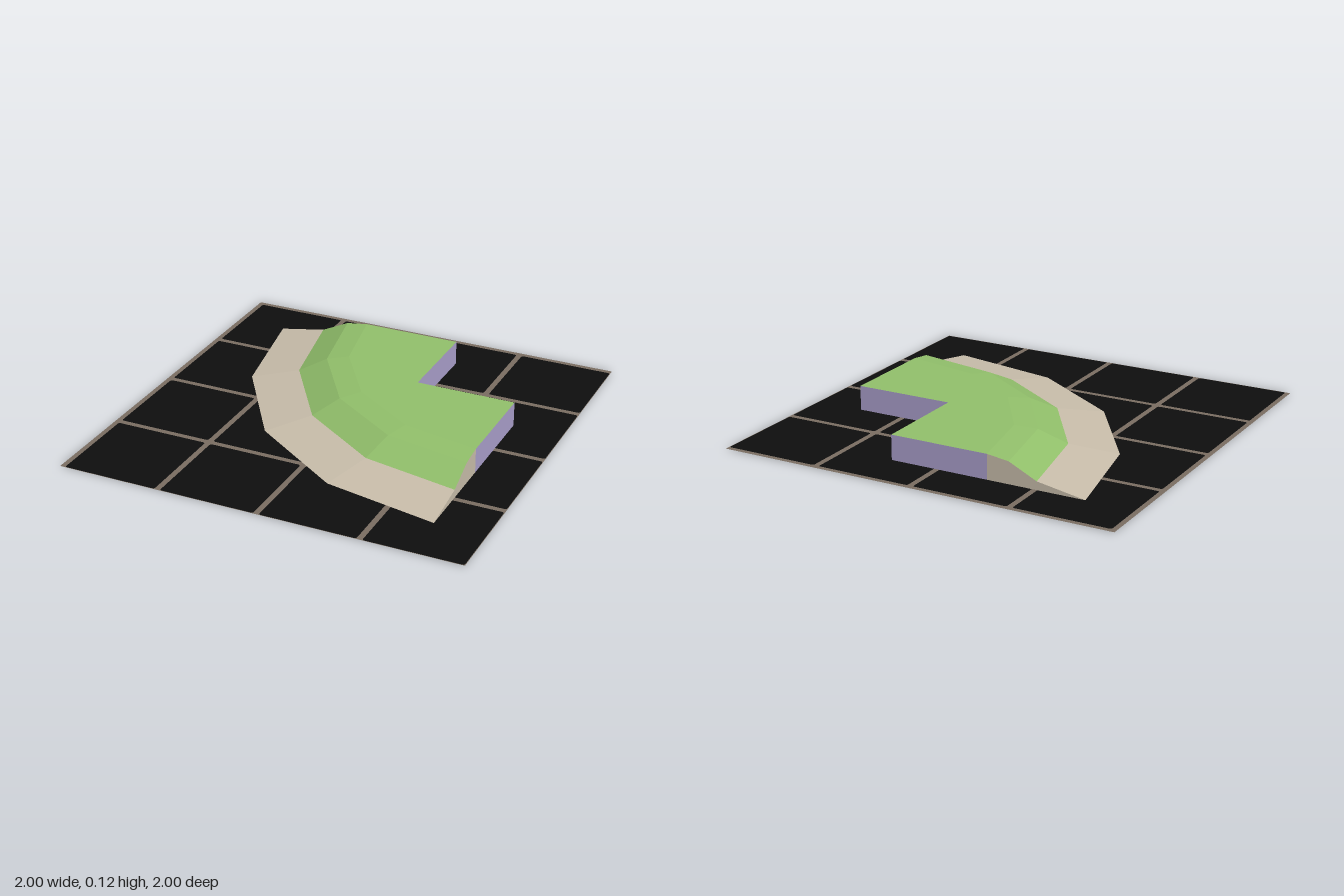
import * as THREE from 'three';

const material = (name, color, side = THREE.FrontSide) =>
  new THREE.MeshStandardMaterial({ name, color, side });

// Convex or star-shaped flat face, fanned from its first corner (counterclockwise).
function fan(...polygons) {
  const pos = [];
  for (const p of polygons) {
    for (let i = 1; i < p.length - 1; i++) pos.push(...p[0], ...p[i], ...p[i + 1]);
  }
  const g = new THREE.BufferGeometry();
  g.setAttribute('position', new THREE.Float32BufferAttribute(pos, 3));
  g.computeVertexNormals();
  return g;
}

export function createModel() {
  const group = new THREE.Group();
  const black = material('black ground', 0x0e0e0e, THREE.DoubleSide);
  const taupe = material('taupe grid', 0x7a6e62, THREE.DoubleSide);
  const green = material('grass green', 0x92c06b);
  const sand = material('sand', 0xc9beab);
  const purple = material('purple wall', 0xaa9fcb);
  const grey = material('grey underside', 0xcccccc);
  const add = (name, geometry, mat) => {
    const mesh = new THREE.Mesh(geometry, mat);
    mesh.name = name;
    group.add(mesh);
    return mesh;
  };

  // Ground: dark rounded cells set flush in a grid of lines
  const groundY = 0.002;
  const rect = (Path, x0, y0, x1, y1, r) => {
    const p = new Path();
    p.moveTo(x0 + r, y0);
    p.lineTo(x1 - r, y0).quadraticCurveTo(x1, y0, x1, y0 + r);
    p.lineTo(x1, y1 - r).quadraticCurveTo(x1, y1, x1 - r, y1);
    p.lineTo(x0 + r, y1).quadraticCurveTo(x0, y1, x0, y1 - r);
    p.lineTo(x0, y0 + r).quadraticCurveTo(x0, y0, x0 + r, y0);
    return p;
  };
  const grid = new THREE.Shape([[-1, -1], [1, -1], [1, 1], [-1, 1]].map(p => new THREE.Vector2(...p)));
  const cells = [];
  for (let i = 0; i < 4; i++) {
    for (let j = 0; j < 4; j++) {
      const x = -1 + 0.5 * i, y = 1 - 0.5 * j;
      const bounds = [x + 0.025, y - 0.497, x + 0.497, y - 0.025, 0.012];
      cells.push(rect(THREE.Shape, ...bounds));
      grid.holes.push(rect(THREE.Path, ...bounds));
    }
  }
  const flat = shapes => new THREE.ShapeGeometry(shapes, 3).rotateX(-Math.PI / 2).translate(0, groundY, 0);
  add('groundCells', flat(cells), black);
  add('gridLines', flat(grid), taupe);

  // Slope profile (radius, height) swept a quarter turn about one corner
  const C = 0.75, H = 0.125;
  const profile = [[1.5, 0], [1.25, 0.043], [1.11, 0.11], [1, H]];
  const sweep = points => {
    const g = new THREE.LatheGeometry(points.map(p => new THREE.Vector2(...p)), 4, -Math.PI / 2, Math.PI / 2)
      .translate(C, 0, -C).toNonIndexed();
    g.computeVertexNormals();
    return g;
  };
  add('beach', sweep(profile.slice(0, 2)), sand);
  add('grassSlope', sweep(profile.slice(1)), green);

  // Flat top and underside: quarter ring with a square notch at the corner
  const outline = (r, y) => {
    const pts = [[0.25, y, -0.25], [0.25, y, -C]];
    for (let i = 0; i <= 4; i++) {
      const a = (i * Math.PI) / 8;
      pts.push([C - r * Math.cos(a), y, -C + r * Math.sin(a)]);
    }
    pts.push([C, y, -0.25]);
    return pts;
  };
  add('grassTop', fan(outline(1, H)), green);
  const under = outline(1.5, 0);
  add('underside', fan([under[0], ...under.slice(1).reverse()]), grey);

  // Sand end faces showing the slope in section
  const backEnd = [[1, 0], ...profile].map(([r, y]) => [C - r, y, -C]);
  const sideEnd = [[1, 0], ...profile.slice().reverse()].map(([r, y]) => [C, y, -C + r]);
  add('sectionEnds', fan(backEnd, sideEnd), sand);

  // Vertical walls around the notch
  const path = [[C, 0.25], [C, -0.25], [0.25, -0.25], [0.25, -C], [-0.25, -C]];
  const walls = path.slice(1).map(([bx, bz], i) => {
    const [ax, az] = path[i];
    return [[ax, 0, az], [bx, 0, bz], [bx, H, bz], [ax, H, az]];
  });
  add('cutWalls', fan(...walls), purple);

  return group;
}
